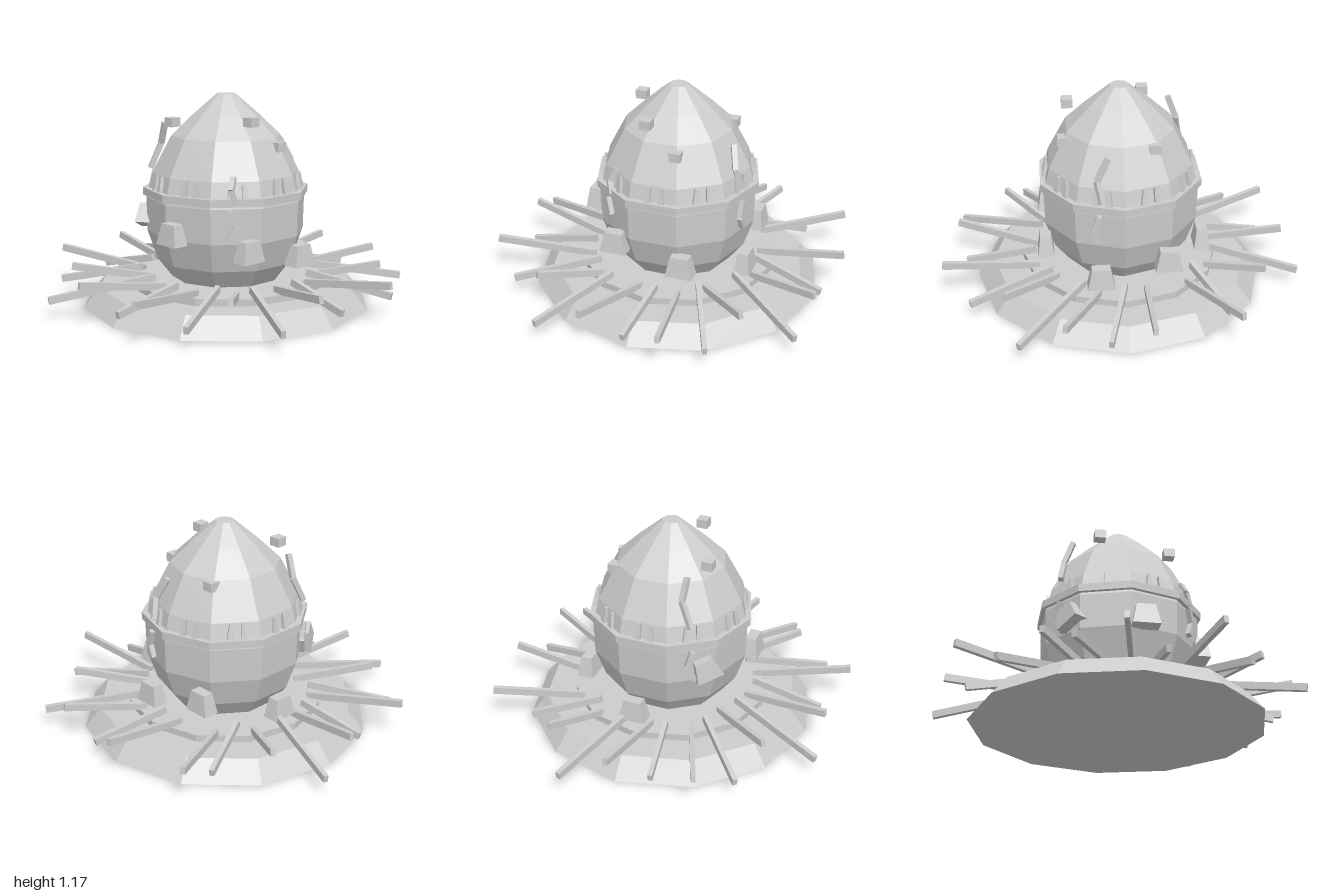
import * as THREE from 'three';

export function createModel() {
  const model = new THREE.Group();
  model.name = 'eggInNest';
  const stone = new THREE.MeshStandardMaterial({ color: 0xcccccc });
  stone.name = 'paleGrey';
  stone.flatShading = true;
  const CX = 0.01;

  const add = (name, geometry, parent = model) => {
    const mesh = new THREE.Mesh(geometry, stone);
    mesh.name = name;
    parent.add(mesh);
    return mesh;
  };
  const group = (name) => {
    const g = new THREE.Group();
    g.name = name;
    model.add(g);
    return g;
  };
  // Square bar running between two points
  const bar = (name, a, b, w, h, parent) => {
    const from = new THREE.Vector3(...a), to = new THREE.Vector3(...b);
    const mesh = add(name, new THREE.BoxGeometry(w, h, from.distanceTo(to)), parent);
    mesh.position.copy(from).lerp(to, 0.5);
    mesh.lookAt(to);
    return mesh;
  };
  // Four-sided tapered block, wide at the bottom
  const taper = (name, top, bottom, h, depth, parent) => {
    const g = new THREE.CylinderGeometry(top / Math.SQRT2, bottom / Math.SQRT2, h, 4, 1, false, Math.PI / 4);
    g.scale(1, 1, depth / bottom);
    return add(name, g, parent);
  };

  // Twelve-sided mound with a low step on top
  add('mound', new THREE.CylinderGeometry(0.72, 0.81, 0.108, 12)).position.set(CX, 0.054, 0);
  add('moundStep', new THREE.CylinderGeometry(0.55, 0.55, 0.04, 12)).position.set(CX, 0.126, 0);

  // Ten-sided egg with a flat face to the front
  const profile = [[0, 0.14], [0.3, 0.14], [0.385, 0.25], [0.44, 0.41], [0.445, 0.6], [0.41, 0.74],
    [0.305, 0.94], [0.18, 1.06], [0.052, 1.17], [0, 1.17]].map(([r, y]) => new THREE.Vector2(r, y));
  add('eggShell', new THREE.LatheGeometry(profile, 10, Math.PI / 10)).position.x = CX;

  // Band around the egg
  add('band', new THREE.CylinderGeometry(0.463, 0.463, 0.042, 10, 1, false, Math.PI / 10)).position.set(CX, 0.635, 0);

  // Pairs of little teeth standing on the band
  const teeth = group('bandTeeth');
  for (let i = 0; i < 10; i++) {
    const side = new THREE.Group();
    side.position.set(CX, 0.695, 0);
    side.rotation.y = i * Math.PI / 5;
    teeth.add(side);
    [-0.025, 0.045].forEach((x, k) => {
      const tooth = taper('tooth', 0.018, 0.036, 0.09, 0.03, side);
      tooth.position.set(x, 0, 0.408);
      tooth.rotation.set(-0.1, 0, k ? 0.08 : -0.08);
    });
  }

  // Tapered blocks around the lower shell
  const blocks = group('shellBlocks');
  for (const [x, y, z, tilt] of [
    [-0.21, 0.38, 0.41, 0], [0.17, 0.305, 0.42, 0], [0.445, 0.235, 0.13, 0], [0.41, 0.31, -0.24, 0],
    [0.045, 0.235, -0.465, 0], [-0.31, 0.49, -0.31, 0.35], [-0.45, 0.455, 0.07, 0],
  ]) {
    const block = taper('block', 0.1, 0.15, 0.115, 0.09, blocks);
    block.position.set(x, y, z);
    block.rotation.order = 'YXZ';
    block.rotation.y = Math.round(Math.atan2(x, z) / (Math.PI / 5)) * Math.PI / 5;
    if (Math.abs(x) > 0.4) block.rotation.y = Math.sign(x) * Math.PI / 2;
    if (Math.abs(x) < 0.25) block.rotation.y = z > 0 ? 0 : Math.PI;
    block.rotation.z = tilt;
  }

  // Small cubes around the upper shell
  const cubes = group('shellCubes');
  for (const p of [[-0.255, 1.02, -0.145], [-0.07, 1.04, 0.28], [0.105, 0.895, 0.31], [0.27, 0.915, -0.17]]) {
    add('cube', new THREE.BoxGeometry(0.062, 0.05, 0.062), cubes).position.set(...p);
  }

  // Zigzag ridges running down the shell
  const ridges = group('zigzagRidges');
  for (const path of [
    [[0.35, 0.9, 0.085], [0.38, 0.785, 0.145], [0.415, 0.67, 0.12]],
    [[0.425, 0.6, 0.135], [0.42, 0.51, 0.165], [0.425, 0.44, 0.135]],
    [[-0.19, 1.0, -0.285], [-0.18, 0.88, -0.33], [-0.24, 0.74, -0.355]],
    [[-0.25, 0.6, -0.355], [-0.225, 0.51, -0.37], [-0.26, 0.42, -0.34]],
    [[-0.23, 0.765, 0.31], [-0.265, 0.7, 0.33], [-0.25, 0.63, 0.35]],
    [[-0.275, 0.6, 0.34], [-0.25, 0.52, 0.36], [-0.28, 0.44, 0.335]],
  ]) {
    for (let i = 0; i < 2; i++) bar('ridge', path[i], path[i + 1], 0.028, 0.028, ridges);
  }

  // Nest sticks: outer x, outer z, inner x, inner z, outer end raised (1) or lowered (0)
  const sticks = group('nestSticks');
  const low = [
    [0.25, -0.99, 0.09, -0.5], [0.63, -0.55, 0.28, -0.38], [0.87, 0.105, 0.46, 0],
    [0.85, 0.58, 0.41, 0.22], [0.45, 0.84, 0.26, 0.39], [0.01, 0.87, 0.05, 0.48],
    [-0.47, 0.91, -0.22, 0.44], [-0.77, 0.54, -0.34, 0.31], [-0.85, 0.105, -0.45, 0.11],
    [-0.95, -0.36, -0.42, -0.11], [-0.62, -0.7, -0.32, -0.34], [-0.2, -0.83, -0.14, -0.46],
  ];
  const high = [
    [0.41, -0.77, 0.24, -0.46], [0.85, -0.58, 0.4, -0.34], [0.945, -0.115, 0.45, -0.115],
    [0.89, 0.34, 0.48, 0.14], [0.58, 0.65, 0.29, 0.36], [0.25, 0.99, 0.17, 0.46],
    [-0.21, 0.92, -0.05, 0.45], [-0.57, 0.65, -0.29, 0.4], [-0.95, 0.365, -0.41, 0.22],
    [-0.93, -0.11, -0.44, 0], [-0.7, -0.49, -0.35, -0.2], [-0.465, -0.9, -0.26, -0.39],
    [0, -0.94, -0.05, -0.45],
  ];
  for (const [ox, oz, ix, iz] of low) bar('loweredStick', [ix, 0.185, iz], [ox, 0.1, oz], 0.026, 0.04, sticks);
  for (const [ox, oz, ix, iz] of high) bar('raisedStick', [ix, 0.155, iz], [ox, 0.225, oz], 0.026, 0.04, sticks);

  return model;
}
